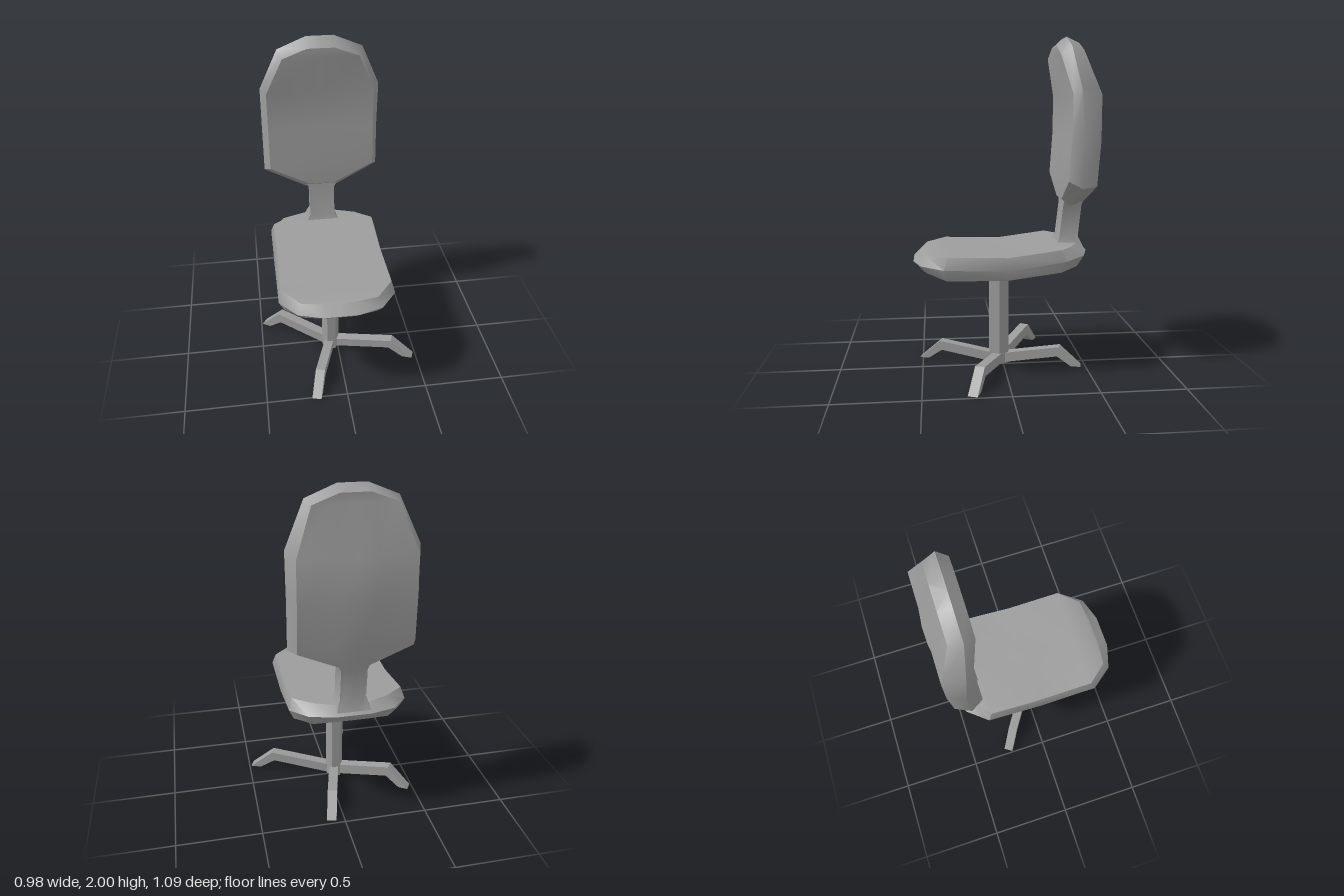
import * as THREE from 'three';
import { mergeGeometries, toCreasedNormals } from 'three/addons/utils/BufferGeometryUtils.js';

const material = new THREE.MeshStandardMaterial({ color: 0x9c9c9c });
const CX = -0.045; // the chair's own axis
const CZ = 0.025;
const CREASE = 0.9;

function addMesh(parent, name, geometry) {
  const mesh = new THREE.Mesh(geometry, material);
  mesh.name = name;
  parent.add(mesh);
  return mesh;
}

// Mirrored cushion loft. Each station holds three [halfWidth, y, z] points:
// the facing side, the widest rim and the reverse side, then an optional ridge
// height. Facing side, rim and reverse are smoothed separately.
function loft(stations) {
  const pos = [];
  const faces = [[], [], []]; // facing, rim, reverse
  const part = [0, 0, 1, 1, 2, 2, 2, 2, 1, 1];
  const N = part.length;
  for (const [a, r, b, ridge = 0] of stations) {
    const w = Math.min(0.105, b[0] * 0.8);
    pos.push(-a[0], a[1], a[2], 0, a[1], a[2], a[0], a[1], a[2]);
    pos.push(r[0], r[1], r[2], b[0], b[1], b[2], w, b[1], b[2]);
    pos.push(0, b[1], b[2] - ridge, -w, b[1], b[2]);
    pos.push(-b[0], b[1], b[2], -r[0], r[1], r[2]);
  }
  for (let s = 0; s < stations.length - 1; s++) {
    for (let i = 0; i < N; i++) {
      const p = s * N + i;
      const q = s * N + ((i + 1) % N);
      faces[part[i]].push(p, q, q + N, p, q + N, p + N);
    }
  }
  // End caps, fanned from the middle of the rim and belonging to it
  for (const s of [0, stations.length - 1]) {
    const [, y, z] = stations[s][1];
    const c = pos.length / 3;
    pos.push(0, y, z);
    for (let i = 0; i < N; i++) {
      const p = s * N + i;
      const q = s * N + ((i + 1) % N);
      if (s === 0) faces[1].push(c, q, p);
      else faces[1].push(c, p, q);
    }
  }
  const merged = mergeGeometries(faces.map((index) => {
    const g = new THREE.BufferGeometry();
    g.setAttribute('position', new THREE.Float32BufferAttribute(pos, 3));
    g.setIndex(index);
    return toCreasedNormals(g, CREASE);
  }));
  return merged.translate(CX, 0, 0);
}

export function createModel() {
  const chair = new THREE.Group();
  chair.name = 'officeChair';

  // Backrest, bottom to top: front, rim, back, ridge
  addMesh(chair, 'backrest', loft([
    [[0.08, 1.04, -0.35], [0.10, 1.00, -0.40], [0.08, 1.03, -0.49], 0.01],
    [[0.325, 1.17, -0.345], [0.36, 1.13, -0.42], [0.32, 1.14, -0.51], 0.015],
    [[0.325, 1.42, -0.362], [0.36, 1.41, -0.43], [0.32, 1.40, -0.53], 0.015],
    [[0.325, 1.66, -0.365], [0.36, 1.68, -0.41], [0.32, 1.66, -0.53], 0.01],
    [[0.225, 1.89, -0.31], [0.25, 1.93, -0.37], [0.225, 1.91, -0.445]],
    [[0.08, 1.945, -0.31], [0.08, 2.00, -0.37], [0.08, 1.965, -0.445]],
  ]));

  // Seat, front to back: top, rim, underside
  addMesh(chair, 'seat', loft([
    [[0.09, 0.727, 0.482], [0.10, 0.68, 0.545], [0.09, 0.645, 0.51]],
    [[0.225, 0.735, 0.465], [0.245, 0.68, 0.50], [0.22, 0.635, 0.47]],
    [[0.325, 0.745, 0.345], [0.345, 0.675, 0.37], [0.315, 0.605, 0.35]],
    [[0.325, 0.735, 0.0], [0.345, 0.66, 0.0], [0.315, 0.60, 0.0]],
    [[0.325, 0.775, -0.31], [0.345, 0.71, -0.335], [0.315, 0.64, -0.31]],
    [[0.22, 0.775, -0.39], [0.25, 0.725, -0.455], [0.22, 0.655, -0.42]],
    [[0.09, 0.772, -0.44], [0.10, 0.73, -0.50], [0.08, 0.67, -0.45]],
  ]));

  // Neck joining seat and backrest, flared at both ends
  addMesh(chair, 'neck', loft([
    [[0.105, 0.765, -0.325], [0.105, 0.755, -0.40], [0.10, 0.745, -0.485]],
    [[0.08, 0.81, -0.34], [0.08, 0.81, -0.40], [0.075, 0.81, -0.455], 0.01],
    [[0.08, 1.00, -0.362], [0.08, 1.00, -0.42], [0.075, 1.00, -0.475], 0.01],
    [[0.11, 1.06, -0.365], [0.11, 1.06, -0.42], [0.10, 1.06, -0.49], 0.01],
  ]));

  // Six-sided column
  const column = new THREE.CylinderGeometry(0.055, 0.055, 0.63, 6);
  column.rotateY(Math.PI / 6);
  column.scale(1, 1, 1.25);
  column.translate(CX, 0.315, CZ);
  addMesh(chair, 'column', toCreasedNormals(column, 0.5));

  // Four bent legs: [angle in degrees, length, height]
  const side = new THREE.Shape([
    [0, 0], [0.40, 0.06], [0.495, 0], [0.56, 0], [0.415, 0.12], [0, 0.06],
  ].map(([x, y]) => new THREE.Vector2(x, y)));
  const legs = [[20.5, 1, 1], [107, 0.91, 0.97], [212.5, 0.915, 1.12], [284, 0.92, 1]];
  for (const [angle, length, height] of legs) {
    const g = new THREE.ExtrudeGeometry(side, { depth: 0.058, bevelEnabled: false });
    g.translate(0, 0, -0.029);
    const leg = addMesh(chair, 'leg', g);
    leg.scale.set(length, height, 1);
    leg.rotation.y = -THREE.MathUtils.degToRad(angle);
    leg.position.set(CX, 0, CZ);
  }
  return chair;
}
